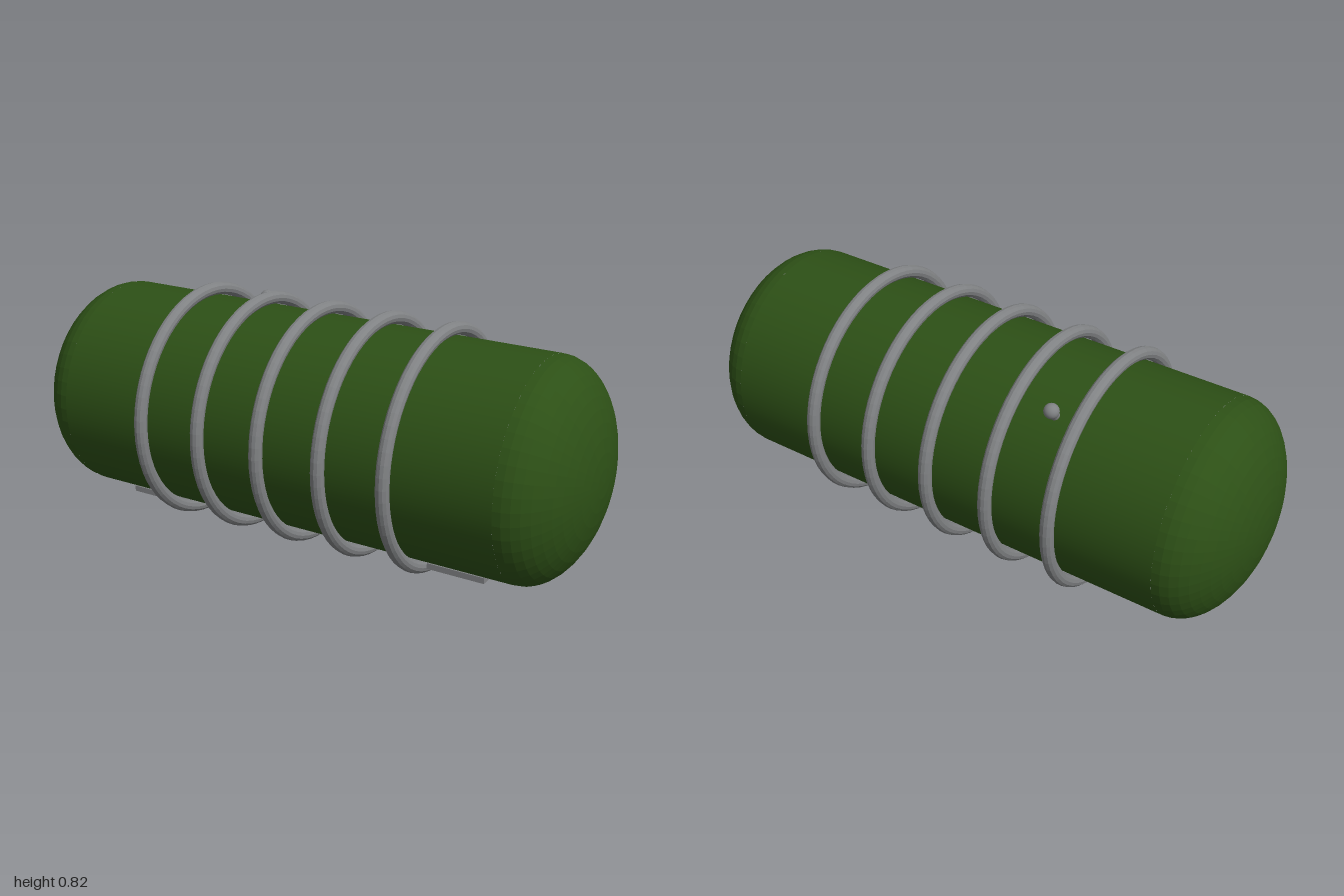
import * as THREE from 'three';

const CY = 0.41;      // height of the tank axis
const R = 0.363;      // tank radius
const HALF = 0.8;     // half length of the straight shell
const DOME = 0.2;     // depth of each end cap

const green = new THREE.MeshStandardMaterial({ color: 0x2d5016 });
green.name = 'tank green';
const grey = new THREE.MeshStandardMaterial({ color: 0x808284 });
grey.name = 'steel grey';

// Gives each face its own normal
function faceted(geometry) {
  const g = geometry.toNonIndexed();
  g.computeVertexNormals();
  return g;
}

function add(parent, name, geometry, material, x = 0, y = 0, z = 0) {
  const mesh = new THREE.Mesh(geometry, material);
  mesh.name = name;
  mesh.position.set(x, y, z);
  parent.add(mesh);
  return mesh;
}

export function createModel() {
  const model = new THREE.Group();
  model.name = 'storageTank';

  // Straight shell along x
  const shell = new THREE.CylinderGeometry(R, R, HALF * 2, 64, 1, true).rotateZ(Math.PI / 2);
  add(model, 'shell', shell, green, 0, CY, 0);

  // Flattened domes closing both ends
  for (const side of [-1, 1]) {
    const dome = new THREE.SphereGeometry(R, 48, 12, 0, Math.PI * 2, 0, Math.PI / 2)
      .scale(1, DOME / R, 1)
      .rotateZ(-side * Math.PI / 2);
    add(model, side > 0 ? 'leftDome' : 'rightDome', faceted(dome), green, side * HALF, CY, 0);
  }

  // Five reinforcing hoops
  const hoop = faceted(new THREE.TorusGeometry(0.387, 0.022, 12, 64).rotateY(Math.PI / 2));
  for (let i = -2; i <= 2; i++) add(model, 'hoop', hoop, grey, i * 0.2275, CY, 0);

  // Flat base pads under the ends
  for (const side of [-1, 1]) {
    add(model, 'basePad', new THREE.BoxGeometry(0.2, 0.02, 0.3), grey, side * 0.59, 0.065, 0);
  }

  // Small valve on the upper back, pointing out from the axis
  const valve = new THREE.Group();
  valve.name = 'valve';
  valve.position.set(-0.365, CY, 0);
  valve.rotation.x = -Math.atan2(0.23, 0.323);
  add(valve, 'valveStem', new THREE.CylinderGeometry(0.016, 0.016, 0.06, 16), grey, 0, 0.365, 0);
  add(valve, 'valveKnob', new THREE.SphereGeometry(0.025, 16, 12), grey, 0, 0.398, 0);
  model.add(valve);

  return model;
}
